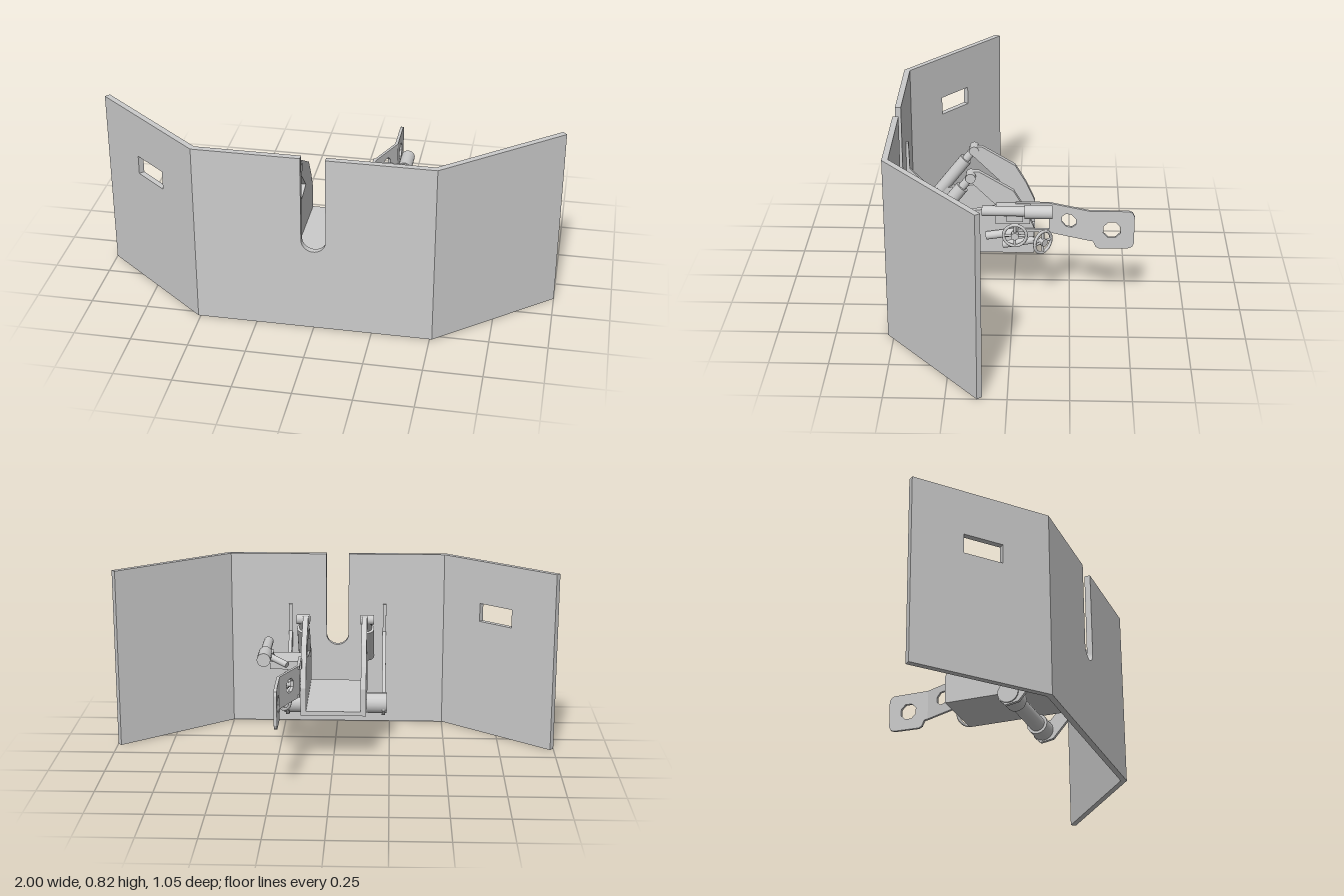
import * as THREE from 'three';

const mat = new THREE.MeshStandardMaterial({ color: 0xcccccc, side: THREE.DoubleSide });
const V = (x, y, z) => new THREE.Vector3(x, y, z);

function add(parent, name, geo) {
  const m = new THREE.Mesh(geo, mat);
  m.name = name;
  parent.add(m);
  return m;
}

const outline = (pts) => new THREE.Shape(pts.map(([a, b]) => new THREE.Vector2(a, b)));

function octagon(a, b, r) {
  const pts = [];
  for (let i = 0; i < 8; i++) {
    const t = (i + 0.5) * Math.PI / 4;
    pts.push([a + r * Math.cos(t), b + r * Math.sin(t)]);
  }
  return outline(pts);
}

const extrude = (shape, depth) =>
  new THREE.ExtrudeGeometry(shape, { depth, bevelEnabled: false, curveSegments: 12 });

// Side sheet drawn in (z, y); xAt gives the middle x for each z
function sideSheet(shape, thick, xAt) {
  const g = extrude(shape, thick);
  g.rotateY(-Math.PI / 2);
  const p = g.attributes.position;
  for (let i = 0; i < p.count; i++) p.setX(i, p.getX(i) + thick / 2 + xAt(p.getZ(i)));
  g.computeVertexNormals();
  return g;
}

// Round bar between two points
function bar(parent, name, a, b, r, sides = 16) {
  const m = add(parent, name, new THREE.CylinderGeometry(r, r, a.distanceTo(b), sides));
  m.position.copy(a).lerp(b, 0.5);
  m.quaternion.setFromUnitVectors(V(0, 1, 0), b.clone().sub(a).normalize());
  return m;
}

function box(parent, name, w, h, d, x, y, z) {
  const m = add(parent, name, new THREE.BoxGeometry(w, h, d));
  m.position.set(x, y, z);
  return m;
}

function handwheel(name, r) {
  const g = new THREE.Group();
  g.name = name;
  add(g, 'wheelRim', new THREE.TorusGeometry(r, 0.007, 8, 20));
  for (let i = 0; i < 2; i++) {
    const a = i * Math.PI / 2;
    const d = V(Math.cos(a) * r, Math.sin(a) * r, 0);
    bar(g, 'wheelSpoke', d.clone().negate(), d, 0.006, 8);
  }
  bar(g, 'wheelHub', V(0, 0, -0.014), V(0, 0, 0.014), 0.017, 12);
  return g;
}

function buildShield() {
  const g = new THREE.Group();
  g.name = 'shield';
  const H = 0.82, T = 0.026;
  // Centre plate with a round-bottomed barrel slot
  const s = outline([[-0.51, 0], [0.51, 0], [0.51, H], [0.052, H], [0.052, 0.432]]);
  s.absarc(0, 0.432, 0.052, 0, Math.PI, true);
  s.lineTo(-0.052, H);
  s.lineTo(-0.51, H);
  add(g, 'centrePlate', extrude(s, T)).position.z = 0.5;
  // Swept-back wings; the right one has a viewing port
  const L = 0.636, angle = 0.69;
  for (const side of [1, -1]) {
    const w = outline([[0, 0], [side * L, 0], [side * L, H], [0, H]]);
    if (side < 0) w.holes.push(outline([[-0.22, 0.535], [-0.4, 0.535], [-0.4, 0.62], [-0.22, 0.62]]));
    const geo = extrude(w, T);
    geo.translate(0, 0, -T);
    const m = add(g, side > 0 ? 'leftWing' : 'rightWing', geo);
    m.position.set(side * 0.51, 0, 0.526);
    m.rotation.y = side * angle;
  }
  return g;
}

function buildCradle() {
  const g = new THREE.Group();
  g.name = 'cradle';
  box(g, 'cradleFloor', 0.29, 0.02, 0.49, 0, 0.225, 0.155);
  const cheek = outline([[-0.09, 0.215], [-0.09, 0.34], [-0.05, 0.43], [0, 0.515], [0.15, 0.605],
    [0.19, 0.605], [0.2, 0.57], [0.07, 0.44], [0.13, 0.425], [0.4, 0.39], [0.4, 0.215]]);
  const arm = outline([[0.5, 0.38], [0.5, 0.58], [0.488, 0.58], [0.485, 0.45], [0.27, 0.22],
    [0.2, 0.2], [0.19, 0.15], [0.22, 0.12], [0.28, 0.13]]);
  for (const side of [1, -1]) {
    add(g, 'cheekPlate', sideSheet(cheek, 0.024, () => side * 0.133));
    // Slanted balancing cylinder
    const x = side * 0.147, top = V(x, 0.59, 0.18), low = V(x, 0.37, 0.35);
    bar(g, 'balanceCylinder', top.clone().lerp(low, 0.25), low, 0.029);
    bar(g, 'balanceRod', top, low, 0.018);
    bar(g, 'cylinderPin', V(side * 0.115, 0.585, 0.185), V(side * 0.175, 0.585, 0.185), 0.022);
    // Arm joining the shield to the cross shaft
    add(g, 'shieldArm', sideSheet(arm, 0.016, () => side * 0.222));
    bar(g, 'armPivot', V(side * 0.13, 0.175, 0.235), V(side * 0.237, 0.175, 0.235), 0.047);
  }
  bar(g, 'crossShaft', V(-0.2, 0.175, 0.235), V(0.2, 0.175, 0.235), 0.035);
  return g;
}

function buildSight() {
  const g = new THREE.Group();
  g.name = 'sight';
  box(g, 'sightBracket', 0.14, 0.036, 0.15, 0.21, 0.442, 0);
  box(g, 'sightPost', 0.035, 0.04, 0.07, 0.285, 0.465, -0.01);
  bar(g, 'sightTube', V(0.3, 0.495, 0.13), V(0.3, 0.495, -0.06), 0.022, 20);
  bar(g, 'sightEyepiece', V(0.3, 0.492, -0.052), V(0.3, 0.492, -0.17), 0.03, 20);
  bar(g, 'sightStay', V(0.2, 0.46, -0.13), V(0.28, 0.485, -0.08), 0.014);
  return g;
}

function buildGuard() {
  const g = new THREE.Group();
  g.name = 'shoulderGuard';
  const T = 0.013, near = 0.15, far = 0.225;
  // Two straps from the cradle
  for (const y of [0.33, 0.458]) box(g, 'guardStrap', T, 0.014, 0.16, near, y, -0.09);
  // Cranked plate, then the wide end plate
  const crank = outline([[-0.155, 0.323], [-0.155, 0.465], [-0.33, 0.465], [-0.33, 0.323]]);
  crank.holes.push(octagon(-0.242, 0.4, 0.033));
  add(g, 'guardCrank', sideSheet(crank, T, (z) => near + (far - near) * (-0.155 - z) / 0.175));
  const end = outline([[-0.33, 0.323], [-0.33, 0.465], [-0.5, 0.465], [-0.517, 0.457], [-0.525, 0.44],
    [-0.525, 0.312], [-0.517, 0.295], [-0.5, 0.288], [-0.375, 0.285], [-0.36, 0.293], [-0.347, 0.32]]);
  end.holes.push(octagon(-0.428, 0.376, 0.04));
  add(g, 'guardEnd', sideSheet(end, T, () => far));
  return g;
}

function buildControls() {
  const g = new THREE.Group();
  g.name = 'handControls';
  const side = handwheel('elevationWheel', 0.05);
  side.position.set(0.215, 0.335, -0.008);
  side.rotation.y = Math.PI / 2;
  bar(g, 'elevationShaft', V(0.13, 0.335, -0.008), V(0.22, 0.335, -0.008), 0.012);
  const rear = handwheel('traverseWheel', 0.05);
  rear.position.set(0.22, 0.308, -0.13);
  rear.rotation.y = 0.75 * Math.PI;
  bar(g, 'traverseShaft', V(0.175, 0.27, 0.045), V(0.185, 0.3, -0.09), 0.016);
  bar(g, 'traverseSpindle', V(0.185, 0.3, -0.09), V(0.22, 0.308, -0.13), 0.012);
  bar(g, 'gearShaft', V(0.17, 0.31, 0.12), V(0.17, 0.33, -0.01), 0.018);
  g.add(side, rear);
  return g;
}

export function createModel() {
  const model = new THREE.Group();
  model.name = 'gunShieldAndCradle';
  model.add(buildShield(), buildCradle(), buildSight(), buildGuard(), buildControls());
  return model;
}
